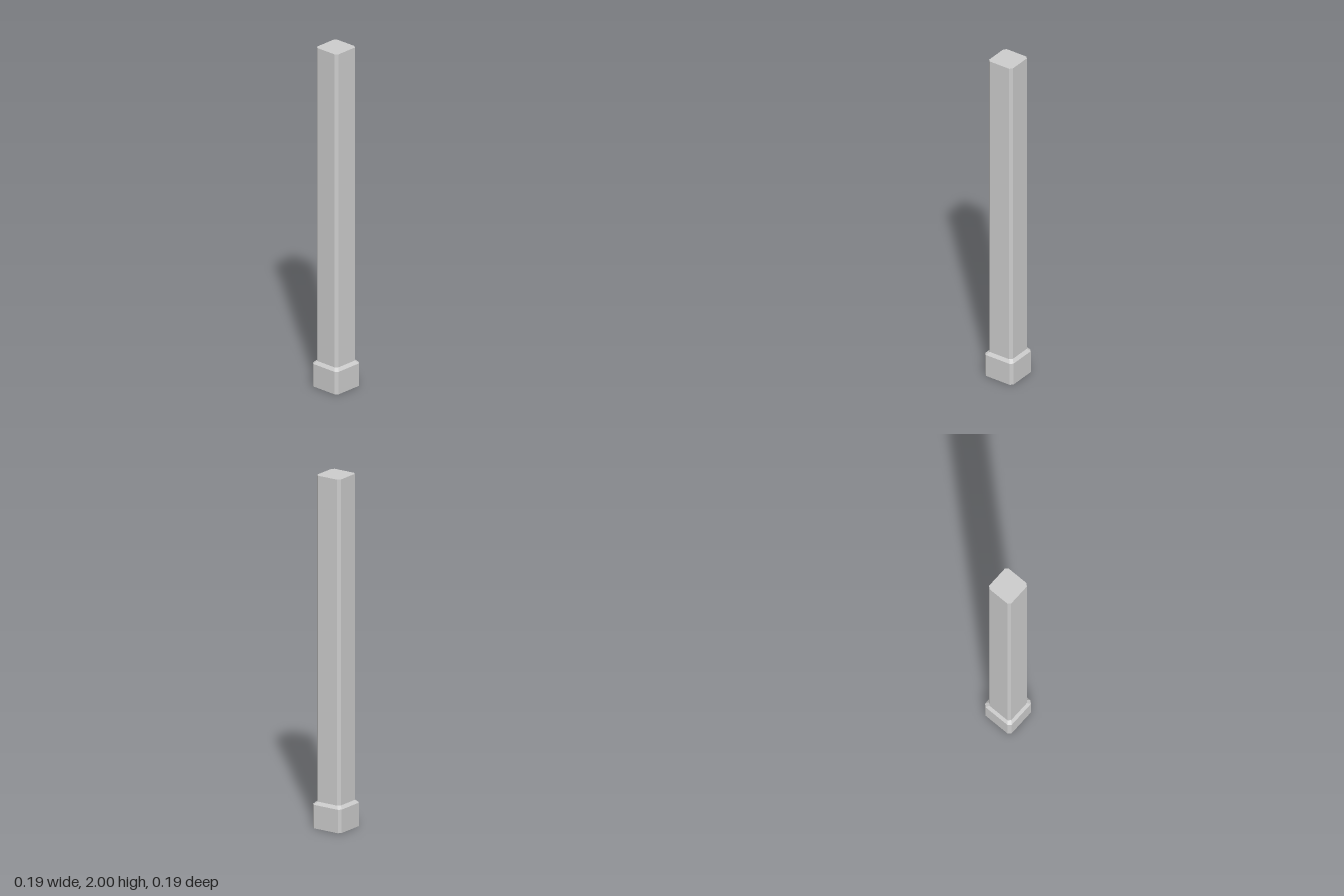
import * as THREE from 'three';

const material = new THREE.MeshStandardMaterial({ color: 0xcccccc, flatShading: true });

// Square ring with cut corners: half = half width, flat = half length of each flat side
function ring([y, half, flat]) {
  return [
    [half, -flat], [half, flat], [flat, half], [-flat, half],
    [-half, flat], [-half, -flat], [-flat, -half], [flat, -half],
  ].map(([x, z]) => new THREE.Vector3(x, y, z));
}

// Skin the stacked sections and close the bottom and/or top
function loft(name, sections, capBottom, capTop) {
  const rings = sections.map(ring);
  const points = [];
  for (let i = 0; i < 8; i++) {
    const j = (i + 1) % 8;
    for (let k = 0; k + 1 < rings.length; k++) {
      const lower = rings[k], upper = rings[k + 1];
      points.push(lower[i], upper[i], lower[j], lower[j], upper[i], upper[j]);
    }
    const first = rings[0], last = rings[rings.length - 1];
    if (capBottom) points.push(new THREE.Vector3(0, first[0].y, 0), first[i], first[j]);
    if (capTop) points.push(new THREE.Vector3(0, last[0].y, 0), last[j], last[i]);
  }
  const geometry = new THREE.BufferGeometry().setFromPoints(points);
  geometry.computeVertexNormals();
  const mesh = new THREE.Mesh(geometry, material);
  mesh.name = name;
  return mesh;
}

export function createModel() {
  const group = new THREE.Group();
  group.name = 'post';

  // Wider foot with a sloped shoulder that meets the shaft
  group.add(loft('base', [[0, 0.095, 0.08], [0.133, 0.095, 0.08], [0.15, 0.079, 0.065]], true, false));

  // Tall square shaft with cut corners
  group.add(loft('shaft', [[0.15, 0.079, 0.065], [2, 0.079, 0.065]], false, true));

  return group;
}
